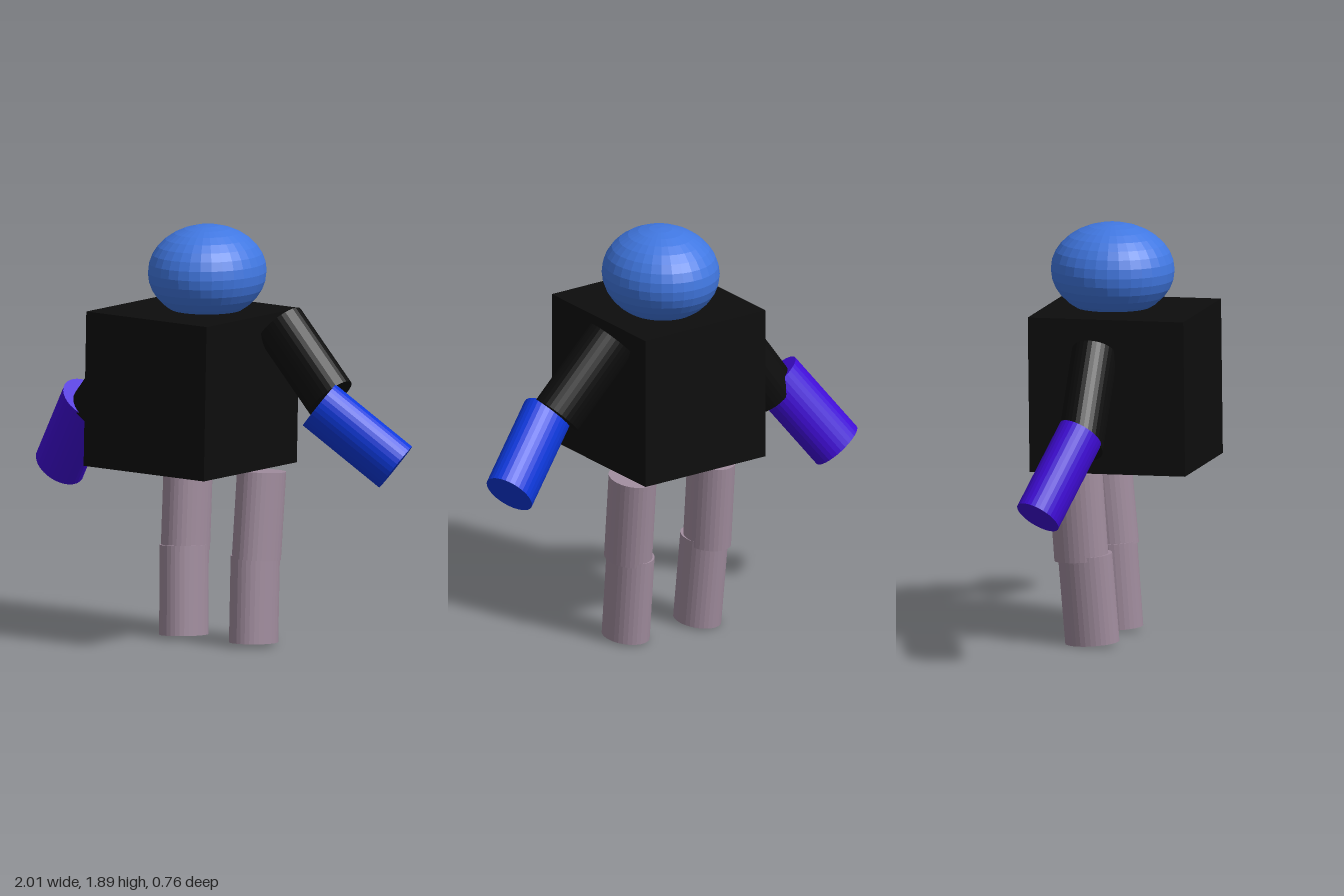
import * as THREE from 'three';

const flat = (name, color) => new THREE.MeshStandardMaterial({ name, color, flatShading: true });

export function createModel() {
  const group = new THREE.Group();
  const black = flat('black', 0x0d0d0d);
  const skyBlue = flat('skyBlue', 0x4178e2);
  const deepBlue = flat('deepBlue', 0x0d38dc);
  const violet = flat('violet', 0x400cd8);
  const mauve = flat('mauve', 0xa08c9d);

  // Oval cylinder between two points; narrow is the axis across which it is thinner
  function limb(name, material, from, to, narrow) {
    const a = new THREE.Vector3(...from);
    const b = new THREE.Vector3(...to);
    const up = a.clone().sub(b);
    const length = up.length();
    up.normalize();
    const wide = new THREE.Vector3().crossVectors(up, narrow).normalize();
    const thin = new THREE.Vector3().crossVectors(wide, up);
    const geometry = new THREE.CylinderGeometry(1, 1, length, 32);
    geometry.scale(0.124, 1, 0.101);
    const mesh = new THREE.Mesh(geometry, material);
    mesh.name = name;
    mesh.quaternion.setFromRotationMatrix(new THREE.Matrix4().makeBasis(wide, up, thin));
    mesh.position.copy(a).add(b).multiplyScalar(0.5);
    group.add(mesh);
  }

  // Slightly turned block torso
  const torso = new THREE.Mesh(new THREE.BoxGeometry(0.66, 0.7, 0.72), black);
  torso.name = 'torso';
  torso.position.set(-0.042, 1.163, -0.005);
  torso.rotation.set(-0.015, 0.052, -0.01);
  group.add(torso);

  // Squashed ball head
  const headGeometry = new THREE.SphereGeometry(1, 32, 16);
  headGeometry.scale(0.258, 0.213, 0.28);
  const head = new THREE.Mesh(headGeometry, skyBlue);
  head.name = 'head';
  head.position.set(-0.008, 1.681, -0.075);
  group.add(head);

  // Arms
  const zAxis = new THREE.Vector3(0, 0, 1);
  limb('leftUpperArm', black, [0.322, 1.461, -0.182], [0.611, 1.156, -0.182], zAxis);
  limb('leftForearm', deepBlue, [0.612, 1.136, -0.1], [0.917, 0.864, -0.265], zAxis);
  limb('rightUpperArm', black, [-0.341, 1.359, -0.052], [-0.625, 0.975, -0.03], zAxis);
  limb('rightForearm', violet, [-0.65, 1.045, -0.02], [-0.901, 0.703, -0.14], zAxis);

  // Legs
  const xAxis = new THREE.Vector3(1, 0, 0);
  limb('leftThigh', mauve, [0.213, 0.785, -0.188], [0.213, 0.39, -0.15], xAxis);
  limb('leftShin', mauve, [0.203, 0.405, -0.155], [0.213, 0.015, -0.13], xAxis);
  limb('rightThigh', mauve, [-0.205, 0.785, -0.188], [-0.2, 0.39, -0.16], xAxis);
  limb('rightShin', mauve, [-0.195, 0.415, -0.145], [-0.175, 0.012, -0.117], xAxis);

  return group;
}
